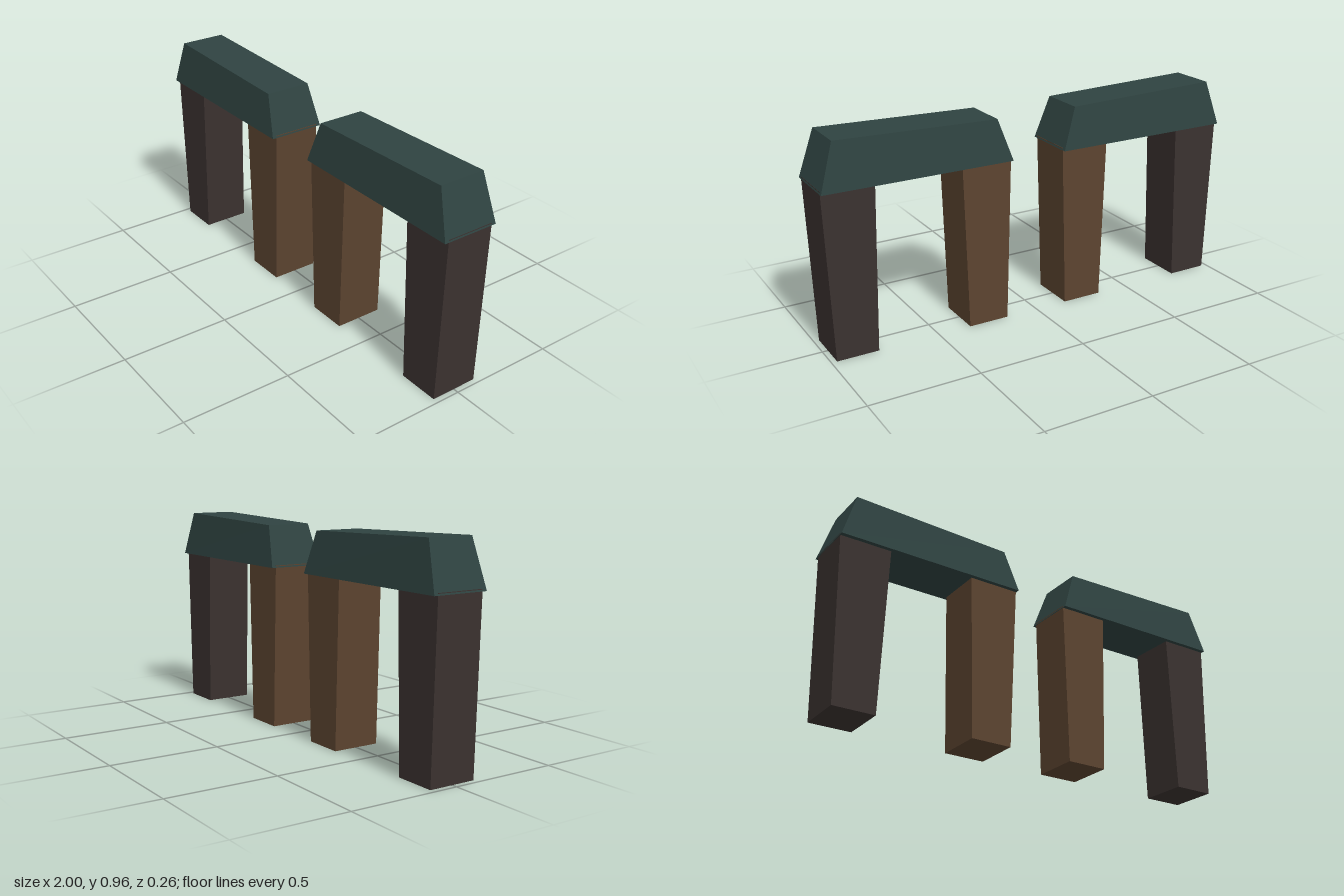
import * as THREE from 'three';

const material = (color) => new THREE.MeshStandardMaterial({ color, flatShading: true });

// Six-sided block whose bottom and top rectangles differ: [x0, x1, halfDepth, yAtX0, yAtX1]
function taperedBlock(name, bottom, top, mat) {
  const geometry = new THREE.BoxGeometry(1, 1, 1);
  const p = geometry.attributes.position;
  for (let i = 0; i < p.count; i++) {
    const [x0, x1, depth, y0, y1] = p.getY(i) > 0 ? top : bottom;
    const right = p.getX(i) > 0;
    p.setXYZ(i, right ? x1 : x0, right ? y1 : y0, Math.sign(p.getZ(i)) * depth);
  }
  geometry.computeVertexNormals();
  const mesh = new THREE.Mesh(geometry, mat);
  mesh.name = name;
  return mesh;
}

// Rectangle with left and right swapped, for the opposite arch
const mirror = ([x0, x1, depth, y0, y1]) => [-x1, -x0, depth, y1, y0];

export function createModel() {
  const model = new THREE.Group();
  model.name = 'twinArches';
  const lintelMat = material(0x2f4341);
  const innerMat = material(0x5c4430);
  const outerMat = material(0x3b3230);

  const parts = [
    // Sloped cap, slightly higher at its outer end
    ['lintel', [0.13, 1, 0.13, 0.75, 0.75], [0.195, 0.935, 0.107, 0.94, 0.96], lintelMat],
    // Pillars widening upward
    ['innerPillar', [0.155, 0.345, 0.11, 0, 0], [0.132, 0.367, 0.11, 0.76, 0.76], innerMat],
    ['outerPillar', [0.785, 0.975, 0.11, 0, 0], [0.763, 0.998, 0.11, 0.76, 0.76], outerMat],
  ];

  for (const side of ['left', 'right']) {
    const arch = new THREE.Group();
    arch.name = side + 'Arch';
    for (const [name, bottom, top, mat] of parts) {
      const flip = side === 'right';
      arch.add(taperedBlock(name, flip ? mirror(bottom) : bottom, flip ? mirror(top) : top, mat));
    }
    model.add(arch);
  }
  return model;
}
